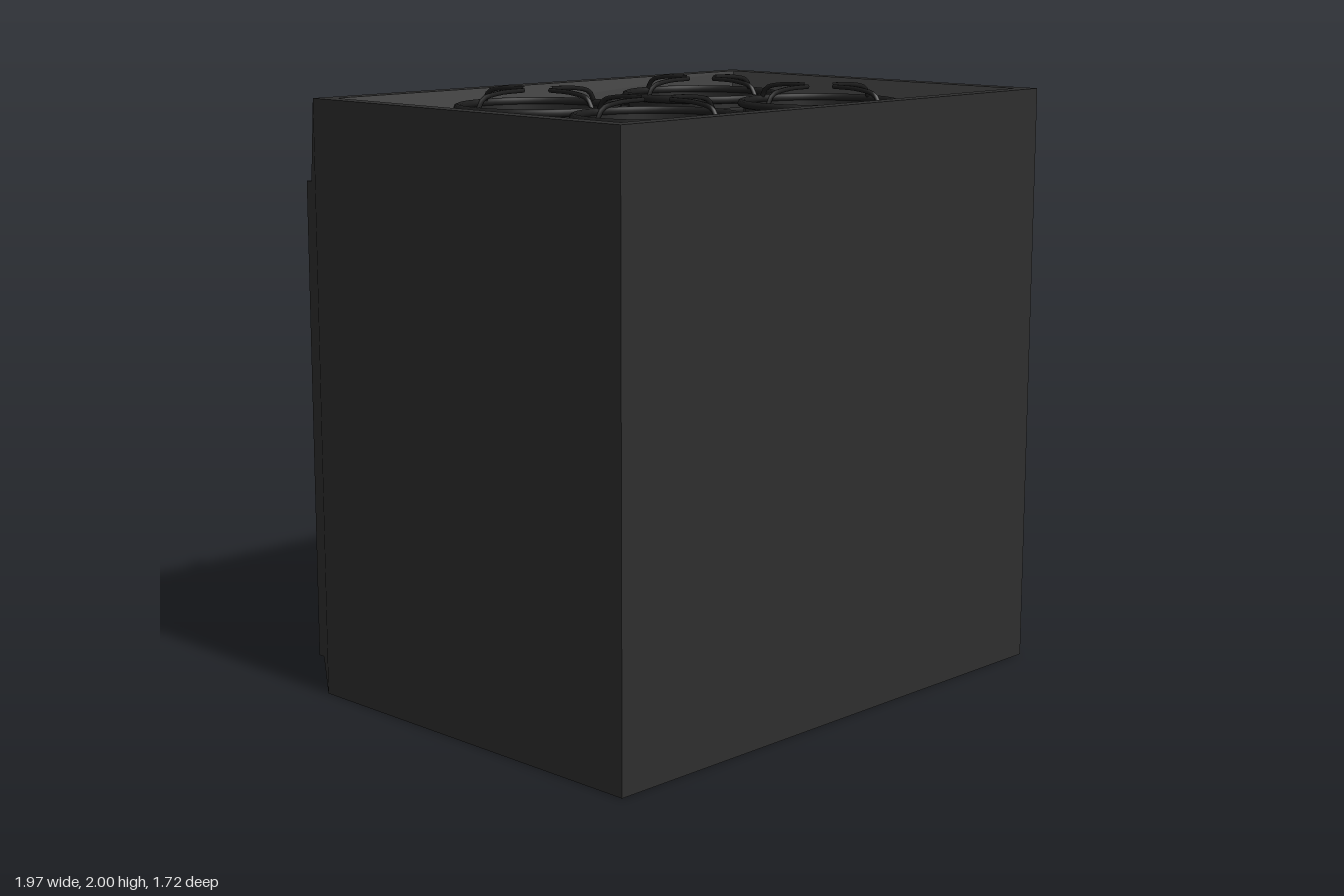
import * as THREE from 'three';
import { ParametricGeometry } from 'three/addons/geometries/ParametricGeometry.js';

const mat = (color, extra = {}) => new THREE.MeshStandardMaterial({ color, ...extra });
const V = (x, y, z) => new THREE.Vector3(x, y, z);

export function createModel() {
  const model = new THREE.Group();
  const enamel = mat(0x2e2e2e);
  const iron = mat(0x1c1c1c);
  const ironOpen = mat(0x262626, { side: THREE.DoubleSide });
  const glass = mat(0x080808);
  const steel = mat(0xaaaaaa);
  const knobGrey = mat(0x6a6a6a);

  const add = (parent, name, geometry, material, x = 0, y = 0, z = 0) => {
    const mesh = new THREE.Mesh(geometry, material);
    mesh.name = name;
    mesh.position.set(x, y, z);
    parent.add(mesh);
    return mesh;
  };

  // Flat-faced skin through a list of four-cornered loops, last loop capped
  const loft = (loops, capStart) => {
    const p = [];
    const quad = (a, b, c, d) => [a, b, c, a, c, d].forEach(v => p.push(v.x, v.y, v.z));
    for (let k = 0; k + 1 < loops.length; k++) {
      for (let i = 0; i < 4; i++) {
        const j = (i + 1) % 4;
        quad(loops[k][i], loops[k][j], loops[k + 1][j], loops[k + 1][i]);
      }
    }
    quad(...loops[loops.length - 1]);
    if (capStart) quad(...[...loops[0]].reverse());
    const g = new THREE.BufferGeometry();
    g.setAttribute('position', new THREE.Float32BufferAttribute(p, 3));
    g.computeVertexNormals();
    return g;
  };
  const level = (y, x, z0, z1) => [V(-x, y, z1), V(x, y, z1), V(x, y, z0), V(-x, y, z0)];
  const upright = (z, x, y0, y1) => [V(x, y0, z), V(-x, y0, z), V(-x, y1, z), V(x, y1, z)];

  // Cabinet with the sunken hob tray in its top
  const floorY = 1.885;
  add(model, 'cabinet', loft([
    level(0, 0.985, -0.53, 0.855),
    level(1.975, 0.985, -0.53, 0.855),
    level(1.975, 0.93, -0.475, 0.8),
    level(floorY, 0.83, -0.39, 0.705),
  ], true), enamel);

  // Tapered panel that carries the knobs and the door
  add(model, 'controlPanel', loft([
    upright(-0.53, 0.985, 0, 1.975),
    upright(-0.685, 0.88, 0.065, 1.69),
  ], false), enamel);

  // Oven door and window
  add(model, 'door', new THREE.BoxGeometry(1.76, 1.62, 0.03), enamel, 0, 0.88, -0.695);
  add(model, 'window', new THREE.BoxGeometry(1.4, 0.98, 0.01), glass, 0, 0.73, -0.71);

  // Bowed handle, lofted between an outer and an inner curve
  const halfCurve = pts => new THREE.CatmullRomCurve3([
    ...pts.map(([x, z]) => V(x, 0, z)),
    ...pts.slice(0, -1).reverse().map(([x, z]) => V(-x, 0, z)),
  ]);
  const outer = halfCurve([[0.83, -0.7], [0.8, -0.745], [0.7, -0.785], [0.5, -0.825], [0.25, -0.852], [0, -0.862]]);
  const inner = halfCurve([[0.59, -0.7], [0.585, -0.735], [0.55, -0.76], [0.44, -0.785], [0.22, -0.815], [0, -0.825]]);
  const handle = new ParametricGeometry((u, v, target) => {
    const a = u * Math.PI * 2;
    const o = outer.getPoint(v), i = inner.getPoint(v);
    target.copy(i).lerp(o, 0.5 + 0.5 * Math.cos(a));
    target.y = 1.485 - 0.055 * Math.sin(a);
  }, 20, 60);
  add(model, 'handle', handle, steel);

  // Knobs, each a disc with a grip ridge, standing on the slope
  for (const x of [-0.64, -0.355, 0.35, 0.635]) {
    const knob = new THREE.Group();
    knob.name = 'knob';
    knob.position.set(x, 1.85, -0.6);
    knob.rotation.x = -1.06;
    add(knob, 'knobDisc', new THREE.CylinderGeometry(0.058, 0.063, 0.03, 24), knobGrey, 0, 0.013, 0);
    add(knob, 'knobRidge', new THREE.BoxGeometry(0.02, 0.018, 0.11), knobGrey, 0, 0.033, 0);
    model.add(knob);
  }

  // Pan support frame lying in the tray
  const side = [[0.6, -0.39], [0.7, -0.33], [0.77, -0.21], [0.79, 0.13], [0.805, 0.42], [0.78, 0.51], [0.72, 0.6], [0.6, 0.68]];
  const frameY = 1.9;
  const framePath = new THREE.CatmullRomCurve3([
    ...side.map(([x, z]) => V(x, frameY, z)),
    ...[...side].reverse().map(([x, z]) => V(-x, frameY, z)),
  ], true, 'catmullrom', 0.1);
  add(model, 'supportFrame', new THREE.TubeGeometry(framePath, 128, 0.012, 8, true), iron);
  const bar = (a, b) => new THREE.TubeGeometry(new THREE.LineCurve3(a, b), 1, 0.012, 8);
  add(model, 'supportBarAcross', bar(V(-0.79, frameY, 0.14), V(0.79, frameY, 0.14)), iron);
  add(model, 'supportBarDeep', bar(V(0, frameY, -0.39), V(0, frameY, 0.68)), iron);

  // Four burners: ring on a short collar with four curved prongs
  const prong = new THREE.TubeGeometry(new THREE.CatmullRomCurve3([
    V(0.258, 1.935, 0), V(0.235, 1.972, 0), V(0.17, 1.988, 0), V(0.06, 1.992, 0),
  ]), 12, 0.008, 6);
  const ring = new THREE.TorusGeometry(0.258, 0.013, 8, 40).rotateX(Math.PI / 2);
  const collar = new THREE.CylinderGeometry(0.25, 0.25, 0.05, 40, 1, true);
  const plate = new THREE.CircleGeometry(0.25, 40).rotateX(-Math.PI / 2);
  for (const x of [-0.385, 0.385]) {
    for (const z of [-0.13, 0.41]) {
      const burner = new THREE.Group();
      burner.name = 'burner';
      burner.position.set(x, 0, z);
      add(burner, 'burnerRing', ring, iron, 0, 1.935, 0);
      add(burner, 'burnerCollar', collar, ironOpen, 0, 1.91, 0);
      add(burner, 'burnerPlate', plate, ironOpen, 0, floorY + 0.003, 0);
      for (let k = 0; k < 4; k++) add(burner, 'prong', prong, iron).rotation.y = k * Math.PI / 2;
      model.add(burner);
    }
  }
  return model;
}
